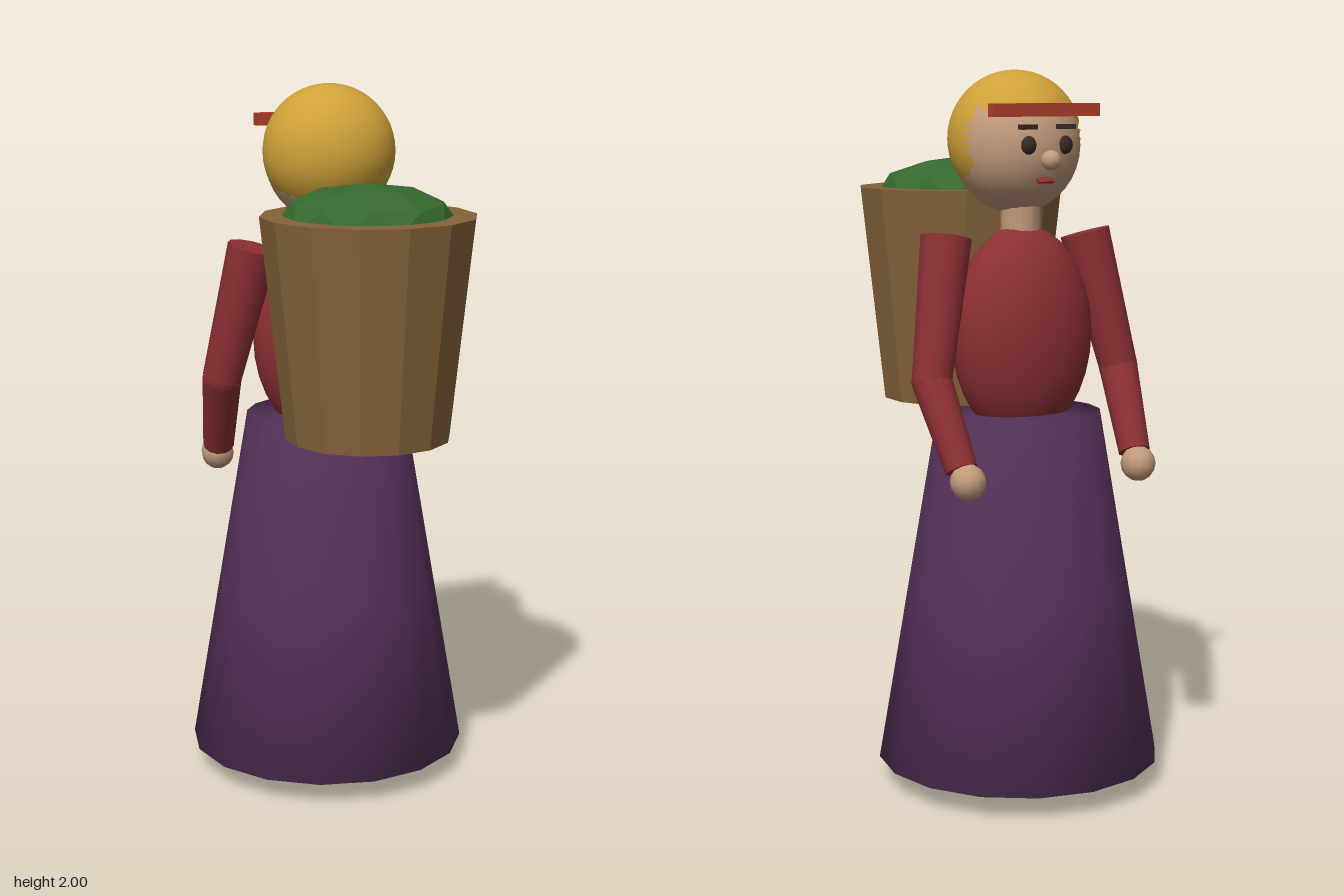
import * as THREE from 'three';
import { mergeVertices } from 'three/addons/utils/BufferGeometryUtils.js';

const mat = (name, color, extra = {}) => {
  const m = new THREE.MeshStandardMaterial({ color, ...extra });
  m.name = name;
  return m;
};

// Shares normals between walls and caps for a soft, rounded look
function soften(geo) {
  geo.deleteAttribute('uv');
  geo.deleteAttribute('normal');
  const merged = mergeVertices(geo, 1e-4);
  merged.computeVertexNormals();
  return merged;
}

export function createModel() {
  const model = new THREE.Group();
  model.name = 'basketCarrier';

  const purple = mat('skirt purple', 0x55325a);
  const red = mat('blouse red', 0x8c3034);
  const skin = mat('skin', 0xc29a7c);
  const gold = mat('hair gold', 0xcfa238, { side: THREE.DoubleSide });
  const brown = mat('basket brown', 0x85633a, { flatShading: true });
  const green = mat('leaf green', 0x35692f, { flatShading: true });
  const dark = mat('dark brown', 0x352a26);
  const orange = mat('band red', 0xb23e2a);
  const lip = mat('lip red', 0x9c3030);

  const add = (name, geo, material, x, y, z) => {
    const mesh = new THREE.Mesh(geo, material);
    mesh.name = name;
    mesh.position.set(x, y, z);
    model.add(mesh);
    return mesh;
  };
  const ball = (name, material, pos, radii, w = 20, h = 14) => {
    const geo = new THREE.SphereGeometry(1, w, h).scale(...radii);
    return add(name, geo, material, ...pos);
  };
  // Tapered limb between two points
  const limb = (name, material, from, to, r0, r1) => {
    const a = new THREE.Vector3(...from), b = new THREE.Vector3(...to);
    const dir = b.clone().sub(a);
    const geo = new THREE.CylinderGeometry(r1, r0, dir.length(), 12);
    const mid = a.clone().add(b).multiplyScalar(0.5);
    const mesh = add(name, geo, material, mid.x, mid.y, mid.z);
    mesh.quaternion.setFromUnitVectors(new THREE.Vector3(0, 1, 0), dir.normalize());
    return mesh;
  };

  // Skirt, blouse and neck
  add('skirt', soften(new THREE.CylinderGeometry(0.23, 0.4, 0.995, 16, 2)), purple, 0, 0.5625, -0.118);
  ball('torso', red, [0, 1.28, -0.135], [0.21, 0.3, 0.145], 24, 16);
  add('neck', new THREE.CylinderGeometry(0.055, 0.055, 0.12, 12), skin, 0, 1.6, -0.125);

  // Head
  ball('head', skin, [0, 1.795, -0.1], [0.178, 0.185, 0.174], 24, 18);

  // Hair: a shell with the face opening left out
  const hair = new THREE.SphereGeometry(1, 32, 24).scale(0.188, 0.187, 0.178);
  const p = hair.attributes.position, idx = hair.index.array, kept = [];
  for (let i = 0; i < idx.length; i += 3) {
    const tri = [idx[i], idx[i + 1], idx[i + 2]];
    const y = tri.reduce((s, v) => s + p.getY(v), 0) / 3;
    const z = tri.reduce((s, v) => s + p.getZ(v), 0) / 3;
    if (z > -0.055 || y > 0.085) kept.push(...tri);
  }
  hair.setIndex(kept);
  add('hair', hair, gold, 0, 1.813, -0.092);
  ball('hairKnot', gold, [0, 1.63, 0.055], [0.035, 0.07, 0.04], 12, 8);
  add('headBand', new THREE.BoxGeometry(0.33, 0.035, 0.032), orange, 0, 1.893, -0.252);

  // Face
  ball('nose', skin, [0, 1.76, -0.286], [0.027, 0.027, 0.03], 12, 8);
  const mouth = add('mouth', new THREE.BoxGeometry(0.05, 0.012, 0.012), lip, 0, 1.705, -0.256);
  mouth.rotation.x = 0.45;

  for (const s of [1, -1]) {
    const side = s > 0 ? 'left' : 'right';
    ball(side + 'Eye', dark, [s * 0.057, 1.8, -0.265], [0.022, 0.025, 0.016], 12, 8);
    const brow = add(side + 'Brow', new THREE.BoxGeometry(0.055, 0.013, 0.02), dark, s * 0.058, 1.848, -0.262);
    brow.rotation.y = s * 0.25;

    // Arm, hand and shoe
    const shoulder = [s * 0.222, 1.55, -0.105], elbow = [s * 0.3, 1.17, -0.165];
    const wrist = [s * 0.277, 0.945, -0.287];
    limb(side + 'UpperArm', red, shoulder, elbow, 0.072, 0.056);
    ball(side + 'Elbow', red, elbow, [0.056, 0.056, 0.056], 12, 8);
    limb(side + 'Forearm', red, elbow, wrist, 0.056, 0.045);
    ball(side + 'Hand', skin, [s * 0.272, 0.915, -0.314], [0.048, 0.05, 0.052], 12, 8);
    ball(side + 'Shoe', dark, [s * 0.11, 0.056, -0.172], [0.074, 0.056, 0.12], 12, 8);
  }

  // Basket with a heap of greens
  add('basket', new THREE.CylinderGeometry(0.295, 0.228, 0.61, 14), brown, 0, 1.365, 0.22);
  const heap = new THREE.IcosahedronGeometry(1, 1)
    .rotateZ(-Math.atan(2 / (1 + Math.sqrt(5))))
    .scale(0.245, 0.105, 0.242);
  add('greens', heap, green, 0, 1.65, 0.215);

  return model;
}
